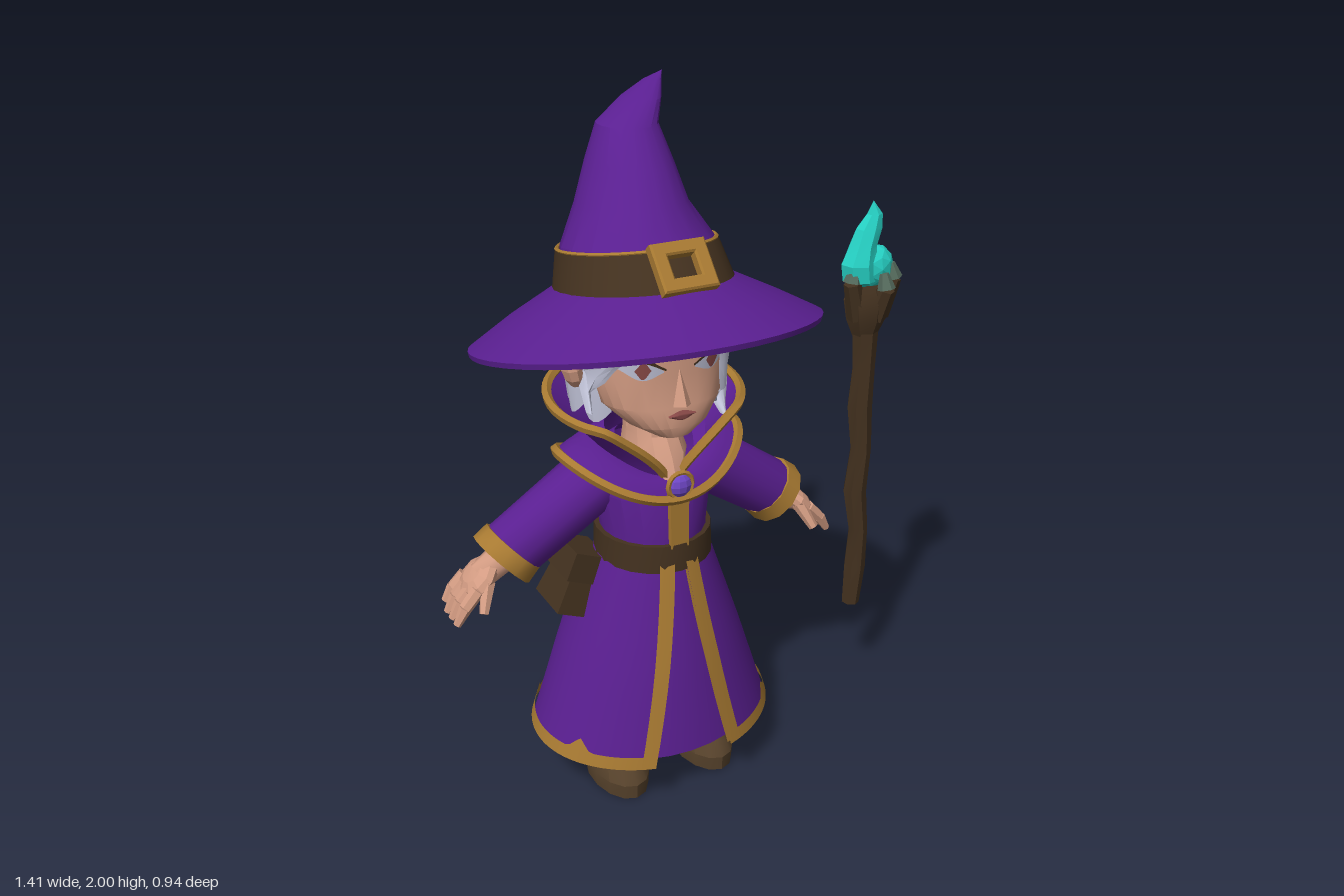
import * as THREE from 'three';
import { toCreasedNormals } from 'three/addons/utils/BufferGeometryUtils.js';

const mat = (name, color, side = THREE.DoubleSide) => new THREE.MeshStandardMaterial({ name, color, side });
const M = {
  purple: mat('purple cloth', 0x5a1f91), gold: mat('gold trim', 0xa87a32), leather: mat('dark leather', 0x43311f),
  boot: mat('boot leather', 0x54402a), skin: mat('skin', 0xd29b82), hair: mat('silver hair', 0xc3c5da),
  teal: mat('teal crystal', 0x26d2c5), moss: mat('mossy wood', 0x546a5c), gem: mat('violet gem', 0x7048c8),
  lip: mat('dusky red', 0x8a4a48),
};
const { sin, cos, PI, abs, sign, max } = Math;
const V = (x, y, z) => new THREE.Vector3(x, y, z);

function add(parent, name, geo, material, crease = 0.45) {
  const m = new THREE.Mesh(toCreasedNormals(geo, crease), material);
  m.name = name;
  parent.add(m);
  return m;
}

// Surface patch from a rule fn(u, v) -> [x, y, z]
function grid(fn, nu, nv) {
  const pos = [], idx = [];
  for (let j = 0; j <= nv; j++) for (let i = 0; i <= nu; i++) pos.push(...fn(i / nu, j / nv));
  for (let j = 0; j < nv; j++) for (let i = 0; i < nu; i++) {
    const a = j * (nu + 1) + i, b = a + nu + 1;
    idx.push(a, a + 1, b + 1, a, b + 1, b);
  }
  const g = new THREE.BufferGeometry();
  g.setAttribute('position', new THREE.Float32BufferAttribute(pos, 3));
  g.setIndex(idx);
  return g;
}

// Point on a ring [y, centreX, radiusX, zFront, zBack, tilt]; angle 0 faces +z
function ringPoint([y, cx, rx, zf, zb, tilt = 0], t, p = 1) {
  const c = (zf + zb) / 2, r = (zf - zb) / 2, s = sin(t), k = cos(t);
  const dz = r * sign(k) * abs(k) ** p;
  return [cx + rx * sign(s) * abs(s) ** p, y + tilt * dz, c + dz];
}
const loft = (rings, n, p) =>
  grid((u, v) => ringPoint(rings[Math.round(v * (rings.length - 1))], u * 2 * PI, p), n, rings.length - 1);

// Interpolated ring at height y
function ringAt(rings, y) {
  let i = 0;
  while (i < rings.length - 2 && (rings[i + 1][0] - y) * (rings[0][0] < rings[1][0] ? 1 : -1) < 0) i++;
  const a = rings[i], b = rings[i + 1], f = THREE.MathUtils.clamp((y - a[0]) / (b[0] - a[0]), 0, 1);
  return a.map((q, k) => q + (b[k] - q) * f);
}

function limb(parent, name, a, b, ra, rb, material, n = 8) {
  const d = b.clone().sub(a), g = new THREE.CylinderGeometry(rb, ra, d.length(), n);
  const m = add(parent, name, g, material, 0.9);
  m.position.copy(a).add(b).multiplyScalar(0.5);
  m.quaternion.setFromUnitVectors(V(0, 1, 0), d.normalize());
  return m;
}
function tube(parent, name, pts, r, material, closed = false, n = 5) {
  const c = new THREE.CatmullRomCurve3(pts.map(p => V(...p)), closed);
  return add(parent, name, new THREE.TubeGeometry(c, pts.length * 2, r, n, closed), material, 0.9);
}
const range = (n, f) => Array.from({ length: n + 1 }, (_, i) => f(i / n));

function buildHat(w) {
  add(w, 'hatBrim', loft([
    [1.485, 0, 0.23, 0.24, -0.25, 0.168], [1.355, 0, 0.47, 0.467, -0.467, 0.232], [1.37, 0, 0.473, 0.47, -0.47, 0.232],
    [1.438, 0, 0.36, 0.365, -0.37, 0.2], [1.505, 0, 0.235, 0.245, -0.255, 0.168]], 44), M.purple);
  add(w, 'hatCone', loft([
    [1.5, 0, 0.225, 0.235, -0.25, 0.168], [1.605, 0, 0.203, 0.158, -0.248, 0.168], [1.7, 0.002, 0.145, 0.09, -0.25, 0.08],
    [1.8, 0.012, 0.112, 0.03, -0.245], [1.89, 0.024, 0.08, -0.05, -0.235], [1.945, 0.08, 0.052, -0.11, -0.235],
    [1.98, 0.13, 0.025, -0.18, -0.23], [2, 0.165, 0, -0.215, -0.215]], 18), M.purple);
  add(w, 'hatBand', loft([[1.497, 0, 0.238, 0.246, -0.262, 0.168], [1.595, 0, 0.215, 0.172, -0.262, 0.17],
    [1.595, 0, 0.2, 0.155, -0.245, 0.17]], 28), M.leather);
  tube(w, 'hatBandEdge', range(23, u => ringPoint([1.597, 0, 0.21, 0.165, -0.257, 0.17], u * 2 * PI * 23 / 24)), 0.006, M.gold, true);
  // Square buckle leaning back on the band
  const s = new THREE.Shape([[-1, -1], [1, -1], [1, 1], [-1, 1]].map(([x, y]) => new THREE.Vector2(x * 0.072, y * 0.062)));
  s.holes.push(new THREE.Path([[-1, -1], [-1, 1], [1, 1], [1, -1]].map(([x, y]) => new THREE.Vector2(x * 0.043, y * 0.036))));
  const b = add(w, 'hatBuckle', new THREE.ExtrudeGeometry(s, { depth: 0.025, bevelSize: 0.005, bevelThickness: 0.005, bevelSegments: 1 }), M.gold);
  b.position.set(0, 1.592, 0.205);
  b.rotation.x = -0.72;
}

function buildHead(w) {
  const H = [[1.122, 0, 0, 0.15, 0.13], [1.132, 0, 0.055, 0.2, 0.05], [1.165, 0, 0.115, 0.212, -0.02], [1.22, 0, 0.172, 0.205, -0.1],
    [1.3, 0, 0.195, 0.19, -0.16], [1.4, 0, 0.2, 0.2, -0.17], [1.48, 0, 0.19, 0.19, -0.17]];
  add(w, 'head', loft(H, 28, 0.8), M.skin, 0.6);
  const faceZ = (x, y) => {
    const [, , rx, zf, zb] = ringAt(H, y);
    return (zf + zb) / 2 + (zf - zb) / 2 * max(0, 1 - (abs(x) / rx) ** 2.5) ** 0.4;
  };
  // Ribbon over the face between two edge curves
  const ribbon = (name, e0, e1, off, bulge, m) => {
    const c = [e0, e1].map(e => new THREE.CatmullRomCurve3(e.map(p => V(p[0], p[1], 0))));
    add(w, name, grid((u, v) => {
      const p = c[0].getPoint(v).lerp(c[1].getPoint(v), u);
      return [p.x, p.y, faceZ(p.x, p.y) + off + bulge * sin(PI * u)];
    }, 6, 10), m, 0.7);
  };
  for (const s of [-1, 1]) {
    const on = pts => pts.map(([x, y]) => [s * x, y]);
    ribbon('eyeWhite', on([[0.045, 1.32], [0.1, 1.302], [0.155, 1.335]]), on([[0.045, 1.325], [0.1, 1.357], [0.155, 1.345]]), 0.005, 0, M.hair);
    ribbon('iris', on([[0.08, 1.33], [0.1, 1.306], [0.12, 1.33]]), on([[0.08, 1.332], [0.1, 1.355], [0.12, 1.332]]), 0.008, 0, M.lip);
    ribbon('eyelid', on([[0.04, 1.325], [0.1, 1.352], [0.162, 1.345]]), on([[0.04, 1.331], [0.1, 1.363], [0.165, 1.356]]), 0.009, 0, M.leather);
    ribbon('eyebrow', on([[0.03, 1.36], [0.1, 1.39], [0.16, 1.385]]), on([[0.03, 1.375], [0.1, 1.405], [0.165, 1.39]]), 0.008, 0, M.leather);
    const ear = add(w, 'ear', new THREE.SphereGeometry(1, 8, 6), M.skin);
    ear.scale.set(0.028, 0.062, 0.042);
    ear.position.set(s * 0.228, 1.31, 0.02);
    ear.rotation.z = -s * 0.25;
  }
  ribbon('lips', [[-0.04, 1.198], [0, 1.186], [0.04, 1.198]], [[-0.04, 1.201], [0, 1.212], [0.04, 1.201]], 0.004, 0.005, M.lip);
  const nose = add(w, 'nose', new THREE.ConeGeometry(0.026, 0.1, 4), M.skin);
  nose.position.set(0, 1.275, 0.203);
  nose.rotation.x = -0.15;
  ribbon('sweptFringe', [[0.08, 1.47], [-0.075, 1.41], [-0.155, 1.34], [-0.2, 1.2]], [[0.05, 1.49], [-0.13, 1.48], [-0.21, 1.38], [-0.215, 1.2]], 0.012, 0.02, M.hair);
  ribbon('sideLock', [[0.075, 1.47], [0.125, 1.37], [0.13, 1.24], [0.16, 1.14]], [[0.14, 1.49], [0.21, 1.4], [0.222, 1.24], [0.175, 1.14]], 0.012, 0.02, M.hair);
  // Back hair in ridged strands with a ragged lower edge
  add(w, 'backHair', grid((u, v) => {
    const t = 0.85 + u * (2 * PI - 1.7), k = abs(sin(u * 36 * PI / 4)), r = 1 + 0.05 * k - 0.1 * (1 - v) ** 2;
    const z = -0.03 + 0.2 * cos(t) * r;
    return [0.215 * sin(t) * r, THREE.MathUtils.lerp(1.19 - 0.035 * k, 1.48 + 0.17 * z, v), z];
  }, 54, 5), M.hair, 0.3);
}

function buildRobe(w) {
  add(w, 'torso', loft([[0.73, 0, 0.15, 0.19, -0.125], [0.82, 0, 0.148, 0.19, -0.13], [0.94, 0, 0.17, 0.185, -0.145],
    [1.03, 0, 0.17, 0.14, -0.13], [1.07, 0, 0.09, 0.1, -0.09]], 20), M.purple);
  add(w, 'neck', loft([[0.98, 0, 0.05, 0.185, 0], [1.05, 0, 0.085, 0.155, -0.07], [1.1, 0, 0.075, 0.12, -0.06], [1.2, 0, 0.075, 0.11, -0.06]], 12), M.skin);
  add(w, 'placket', new THREE.BoxGeometry(0.055, 0.15, 0.02), M.gold).position.set(0, 0.875, 0.19);
  add(w, 'belt', loft([[0.73, 0, 0.15, 0.19, -0.12], [0.73, 0, 0.166, 0.207, -0.143], [0.81, 0, 0.163, 0.203, -0.143], [0.81, 0, 0.14, 0.18, -0.12]], 22), M.leather);

  // Shoulder cape
  const cape = (u, v) => {
    const t = u * 2 * PI, a = ringPoint([1.05, 0, 0.12, 0.15, -0.12], t);
    const b = ringPoint([0.95 + 0.11 * sin(t) ** 2, 0, 0.265, 0.2, -0.18], t);
    a[1] -= 0.05 * cos(t) - 0.03 * sin(t) ** 2;
    return a.map((q, i) => b[i] + (q - b[i]) * v + (i === 1 ? 0.015 * sin(PI * v) : 0));
  };
  add(w, 'shoulderCape', grid(cape, 32, 4), M.purple);
  tube(w, 'capeTrim', range(31, f => cape(f * 31 / 32, 0)), 0.015, M.gold, true);

  // Tall open collar, flaring upward
  const collar = (u, v) => {
    const t0 = 0.1 + 0.72 * v, t = t0 + u * (2 * PI - 2 * t0), f = v ** 1.2;
    return [sin(t) * (0.13 + 0.14 * f), 1.035 - 0.045 * cos(t) + v * (0.155 + 0.01 * cos(t)), -0.01 + cos(t) * (0.16 + 0.085 * f)];
  };
  add(w, 'collar', grid(collar, 30, 5), M.purple);
  tube(w, 'collarTrim', [...range(5, f => collar(0, f)), ...range(22, f => collar(f, 1)).slice(1, -1), ...range(5, f => collar(1, 1 - f))], 0.014, M.gold);
  const gem = add(w, 'broochGem', new THREE.SphereGeometry(0.034, 10, 6), M.gem);
  gem.position.set(0, 0.99, 0.2);
  gem.scale.z = 0.6;
  add(w, 'broochRing', new THREE.TorusGeometry(0.036, 0.008, 5, 14), M.gold).position.set(0, 0.99, 0.2);

  // Split skirt; v runs from hem to waist
  const S = [[0.17, 0, 0.36, 0.295, -0.28], [0.45, 0, 0.268, 0.255, -0.235], [0.76, 0, 0.154, 0.195, -0.13]];
  const skirt = (t, v, off) => {
    const [y, , rx, zf, zb] = ringAt(S, 0.17 + 0.59 * v);
    return ringPoint([y - 0.02 * cos(t) * (1 - v) + 0.005, 0, rx + off, zf + off, zb - off], t);
  };
  const gap = v => 0.12 + 0.24 * (1 - v);
  add(w, 'skirt', grid((u, v) => skirt(gap(v) + u * 2 * (PI - gap(v)), v, 0), 40, 8), M.purple);
  add(w, 'underskirt', grid((u, v) => skirt(u * 2 * PI, 0.02 + 0.98 * v, -0.022), 32, 6), M.purple);
  const spike = t => max(0, 1 - abs(((t / 1.05 + 0.5) % 1) - 0.5) * 9);
  for (const off of [0.007, -0.006]) {
    add(w, 'hemTrim', grid((u, v) => {
      const t = gap(0) + u * 2 * (PI - gap(0));
      return skirt(t, v * (0.065 + 0.06 * spike(t)) - 0.004, off);
    }, 108, 1), M.gold);
    for (const s of [-1, 1]) add(w, 'frontTrim', grid((u, v) => {
      const width = 0.042 / (0.36 - 0.2 * v);
      return skirt(s * (gap(v) - 0.02 + (s > 0 ? u : 1 - u) * width), v, off);
    }, 2, 8), M.gold);
  }
}

function buildLimbs(w) {
  for (const s of [-1, 1]) {
    const P = (x, y, z) => V(s * x, y, z);
    // Sleeve, cuff and hand
    limb(w, 'sleeve', P(0.13, 0.985, 0), P(0.42, 0.785, -0.02), 0.092, 0.088, M.purple, 12);
    limb(w, 'cuff', P(0.4, 0.802, -0.02), P(0.437, 0.768, -0.02), 0.094, 0.099, M.gold, 12);
    limb(w, 'wrist', P(0.42, 0.785, -0.02), P(0.5, 0.735, -0.02), 0.045, 0.04, M.skin);
    const palm = add(w, 'palm', new THREE.SphereGeometry(1, 10, 6), M.skin);
    palm.scale.set(0.065, 0.032, 0.07);
    palm.position.copy(P(0.505, 0.732, -0.02));
    palm.rotation.z = -s * 0.75;
    [-0.075, -0.04, -0.005, 0.03].forEach((z, i) => {
      const long = i === 0 ? 0.82 : 1, mid = P(0.53 + 0.035 * long, 0.712 - 0.035 * long, z * 1.1);
      limb(w, 'finger', P(0.525, 0.72, z), mid, 0.02, 0.018, M.skin, 6);
      limb(w, 'fingertip', mid, P(0.55 + 0.042 * long, 0.705 - 0.073 * long, z * 1.1), 0.018, 0.011, M.skin, 6);
    });
    limb(w, 'thumb', P(0.495, 0.735, 0.025), P(0.525, 0.665, 0.065), 0.022, 0.013, M.skin, 6);
    // Leg and boot
    limb(w, 'leg', P(0.115, 0.2, -0.015), P(0.08, 0.72, 0.02), 0.06, 0.07, M.purple);
    const c = s * 0.142;
    add(w, 'boot', loft([[0, c, 0, 0.06, 0.06], [0, c, 0.08, 0.2, -0.078], [0.045, c, 0.083, 0.203, -0.082], [0.085, c, 0.07, 0.165, -0.078],
      [0.13, s * 0.13, 0.064, 0.075, -0.082], [0.27, s * 0.118, 0.067, 0.058, -0.092], [0.27, s * 0.118, 0, 0, 0]], 14), M.boot, 0.6);
  }
  // Belt pouch
  const pouch = new THREE.Group();
  pouch.name = 'pouch';
  add(pouch, 'pouchBody', new THREE.CylinderGeometry(0.07, 0.1, 0.18, 4, 1).rotateY(PI / 4).scale(0.75, 1, 1.1), M.leather);
  add(pouch, 'pouchFlap', new THREE.BoxGeometry(0.105, 0.085, 0.145), M.leather).position.set(-0.005, 0.052, 0);
  pouch.position.set(-0.222, 0.655, -0.03);
  pouch.rotation.z = -0.4;
  w.add(pouch);
}

function buildStaff(root) {
  const st = new THREE.Group();
  st.name = 'staff';
  root.add(st);
  const pts = [[0.62, 0.32], [0.628, 0.45], [0.633, 0.58], [0.612, 0.72], [0.625, 0.86], [0.612, 1], [0.618, 1.13], [0.615, 1.26]];
  add(st, 'staffShaft', loft(pts.flatMap(([x, y], i) => {
    const r = 0.027 + 0.005 * (i % 2) + 0.001 * i, k = [y, x, r, r + 0.006, -r];
    return i ? [k] : [[y, x, 0, 0, 0], k];
  }), 7), M.leather);
  add(st, 'staffHead', loft([[1.22, 0.615, 0.033, 0.035, -0.035], [1.28, 0.615, 0.058, 0.06, -0.06], [1.34, 0.615, 0.068, 0.065, -0.068],
    [1.38, 0.612, 0.05, 0.05, -0.05], [1.38, 0.612, 0, 0, 0]], 7), M.leather);
  // Claws gripping the crystal
  [[0.55, 1.4, 0.02], [0.685, 1.4, 0.03], [0.645, 1.39, -0.07], [0.64, 1.38, 0.062]].forEach(([x, y, z], i) => {
    limb(st, 'claw', V(0.615 + (x - 0.615) * 0.5, 1.29, z * 0.5), V(x, y, z), 0.032, 0.025, M.leather, 6);
    limb(st, 'clawTip', V(x, y, z), V(x + (0.615 - x) * 0.15, y + 0.045, z * 0.85), 0.027, 0.013, M.moss, 6);
  });
  const c = add(st, 'crystalCore', new THREE.IcosahedronGeometry(0.064, 1), M.teal, 0.2);
  c.position.set(0.632, 1.435, 0);
  c.scale.z = 0.8;
  add(st, 'crystalFlame', loft([[1.37, 0.6, 0, 0, 0], [1.4, 0.59, 0.055, 0.05, -0.045], [1.45, 0.582, 0.055, 0.052, -0.046], [1.5, 0.592, 0.04, 0.042, -0.04],
    [1.55, 0.61, 0.04, 0.035, -0.03], [1.59, 0.625, 0.024, 0.025, -0.015], [1.63, 0.615, 0, 0.01, 0.01]], 7), M.teal, 0.2);
}

export function createModel() {
  const root = new THREE.Group();
  root.name = 'sorcerer';
  const body = new THREE.Group();
  body.name = 'figure';
  body.position.x = -0.1;
  root.add(body);
  buildHat(body);
  buildHead(body);
  buildRobe(body);
  buildLimbs(body);
  buildStaff(root);
  return root;
}
